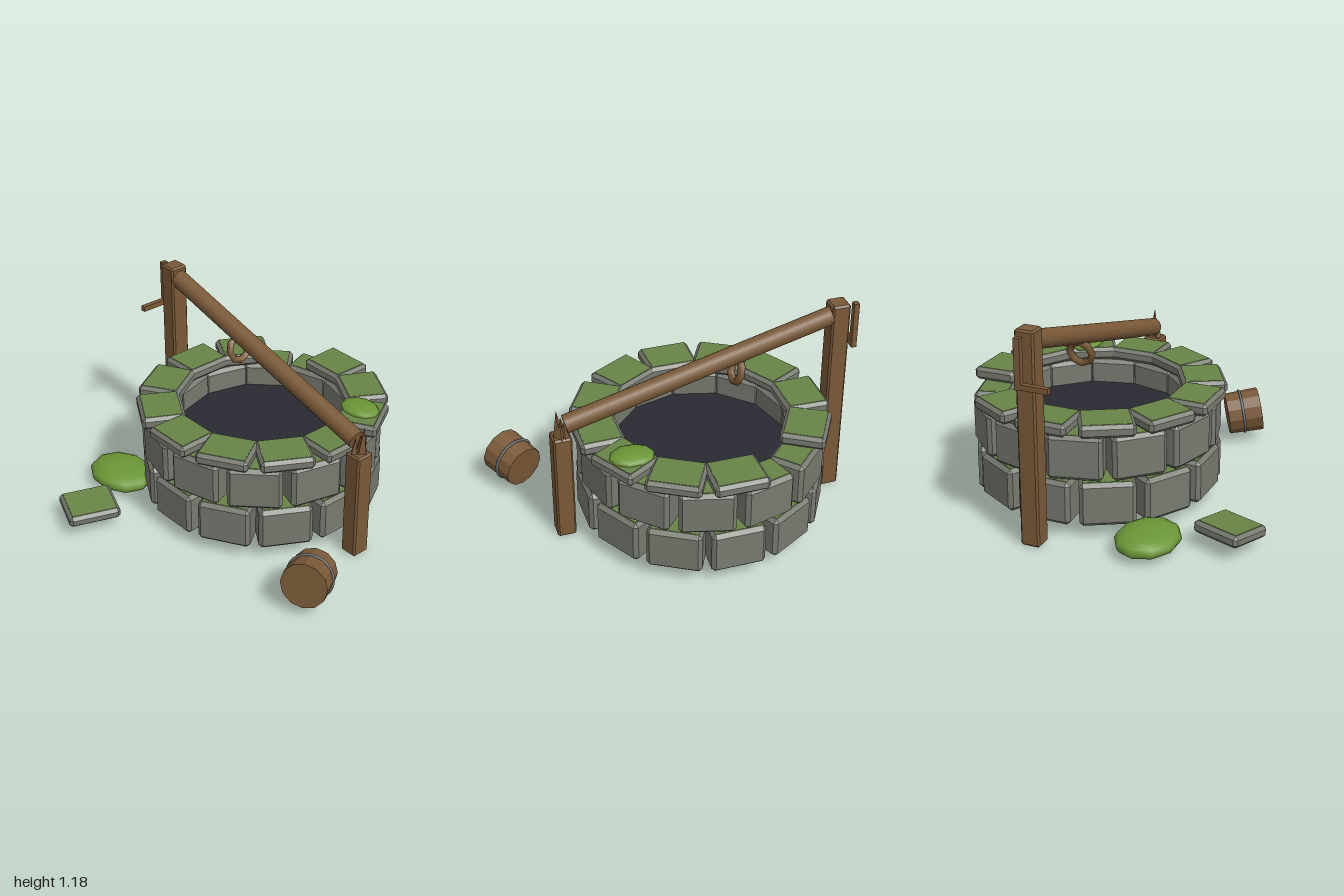
import * as THREE from 'three';
import { ConvexGeometry } from 'three/addons/geometries/ConvexGeometry.js';

const mat = (name, color) => new THREE.MeshStandardMaterial({ name, color });

// Box with every edge and corner cut off
function chamferBox(w, h, d, c) {
  const pts = [];
  for (const x of [-1, 1]) for (const y of [-1, 1]) for (const z of [-1, 1]) {
    const p = [x * w / 2, y * h / 2, z * d / 2], s = [x, y, z];
    for (let k = 0; k < 3; k++)
      pts.push(new THREE.Vector3(...p.map((v, i) => (i === k ? v : v - s[i] * c))));
  }
  return new ConvexGeometry(pts);
}

// Narrows a geometry towards its back end, where its width becomes w * ratio
function taper(geo, d, ratio) {
  const p = geo.attributes.position;
  for (let i = 0; i < p.count; i++)
    p.setX(i, p.getX(i) * (1 - (1 - ratio) * (0.5 - p.getZ(i) / d)));
  geo.computeVertexNormals();
  return geo;
}

export function createModel() {
  const model = new THREE.Group();
  model.name = 'ruinedWell';
  const stone = mat('stone', 0x777a70);
  const moss = mat('moss', 0x688446);
  const leaf = mat('leaf', 0x6b9636);
  const wood = mat('wood', 0x7a5938);
  const dark = mat('darkWater', 0x292932);
  const metal = mat('metal', 0x6c7070);

  const add = (parent, name, geo, m, x = 0, y = 0, z = 0) => {
    const mesh = new THREE.Mesh(geo, m);
    mesh.name = name;
    mesh.position.set(x, y, z);
    parent.add(mesh);
    return mesh;
  };

  // One stone with a thin mossy top
  function block(name, w, h, d, c, ratio = 1) {
    const g = new THREE.Group();
    g.name = name;
    add(g, 'stoneBody', taper(chamferBox(w, h, d, c), d, ratio), stone);
    const inset = 2 * c + 0.006;
    const plate = new THREE.BoxGeometry(w - inset, 0.004, d - inset);
    add(g, 'mossTop', taper(plate, d, ratio), moss, 0, h / 2, 0);
    return g;
  }

  // Ring wall: two courses and a capping course with one stone missing
  const CX = -0.11, CZ = -0.215;
  const well = new THREE.Group();
  well.name = 'wellWall';
  well.position.set(CX, 0, CZ);
  model.add(well);
  const courses = [
    { name: 'lowerStone', y0: 0.072, y1: 0.315, inner: 0.465, outer: 0.67, w: 0.302, c: 0.021, ratio: 0.92, turn: 0 },
    { name: 'upperStone', y0: 0.328, y1: 0.575, inner: 0.465, outer: 0.67, w: 0.302, c: 0.021, ratio: 0.92, turn: 0.5 },
    { name: 'capStone', y0: 0.579, y1: 0.65, inner: 0.455, outer: 0.7, w: 0.298, c: 0.018, ratio: 0.95, turn: 0, missing: 7 },
  ];
  for (const r of courses) for (let i = 0; i < 12; i++) {
    if (i === r.missing) continue;
    const a = (i + r.turn) * Math.PI / 6, mid = (r.inner + r.outer) / 2;
    const s = block(r.name, r.w, r.y1 - r.y0, r.outer - r.inner, r.c, r.ratio);
    s.position.set(Math.sin(a) * mid, (r.y0 + r.y1) / 2, Math.cos(a) * mid);
    s.rotation.y = a;
    well.add(s);
  }
  add(well, 'water', new THREE.CylinderGeometry(0.49, 0.49, 0.11, 24), dark, 0, 0.385, 0);

  // Fallen cap stone
  const fallen = block('fallenStone', 0.255, 0.067, 0.295, 0.018);
  fallen.position.set(-0.513, 0.105, 0.727);
  fallen.rotation.set(0, -0.35, -0.08);
  model.add(fallen);

  // Posts
  add(model, 'tallPost', chamferBox(0.104, 1.18, 0.108, 0.01), wood, -0.884, 0.59, -0.212);
  add(model, 'brokenPost', chamferBox(0.104, 0.643, 0.108, 0.01), wood, 0.665, 0.3215, -0.212);

  // Splinters on the broken post: x, z, height, radius
  for (const [x, z, h, r] of [[0.682, -0.222, 0.17, 0.03], [0.65, -0.235, 0.1, 0.026],
    [0.672, -0.24, 0.11, 0.024], [0.655, -0.188, 0.1, 0.024]]) {
    const geo = new THREE.ConeGeometry(r, h, 4).toNonIndexed();
    geo.computeVertexNormals();
    add(model, 'splinter', geo, wood, x, 0.635 + h / 2, z).rotation.z = -0.05;
  }

  // Sloping beam
  const from = new THREE.Vector3(-0.85, 1.107, -0.214), to = new THREE.Vector3(0.64, 0.707, -0.214);
  const dir = to.clone().sub(from);
  const slope = Math.atan2(dir.y, dir.x);
  const beam = add(model, 'beam', new THREE.CylinderGeometry(0.052, 0.052, dir.length(), 16), wood);
  beam.position.copy(from).add(to).multiplyScalar(0.5);
  beam.rotation.z = slope - Math.PI / 2;

  // Wooden ring below the beam
  const ringPivot = new THREE.Group();
  ringPivot.name = 'hangingRing';
  ringPivot.position.set(-0.312, 0.86, CZ);
  ringPivot.rotation.z = -slope;
  model.add(ringPivot);
  add(ringPivot, 'ring', new THREE.TorusGeometry(0.066, 0.021, 6, 8), wood).rotation.y = Math.PI / 2;

  // Crank
  add(model, 'crankArm', new THREE.BoxGeometry(0.03, 0.27, 0.035), wood, -0.985, 1.025, -0.217);
  add(model, 'crankGrip', new THREE.BoxGeometry(0.03, 0.03, 0.15), wood, -0.985, 0.907, -0.125);

  // Bush on the ground and moss clump on the cap
  const blob = new THREE.SphereGeometry(1, 10, 8);
  add(model, 'bush', blob, leaf, -0.713, 0.068, 0.356).scale.set(0.214, 0.065, 0.17);
  add(model, 'mossClump', blob, leaf, 0.363, 0.653, -0.52).scale.set(0.122, 0.033, 0.094);

  // Bucket lying on its side
  const bucket = new THREE.Group();
  bucket.name = 'bucket';
  bucket.position.set(0.842, 0.176, 0.298);
  bucket.quaternion.setFromUnitVectors(new THREE.Vector3(0, 1, 0),
    new THREE.Vector3(0.47, 0.15, 0.87).normalize());
  model.add(bucket);
  const body = new THREE.CylinderGeometry(0.129, 0.122, 0.2, 12).toNonIndexed();
  body.computeVertexNormals();
  add(bucket, 'bucketBody', body, wood);
  add(bucket, 'bucketHoop', new THREE.TorusGeometry(0.126, 0.008, 6, 24), metal, 0, -0.01, 0)
    .rotation.x = Math.PI / 2;

  return model;
}
